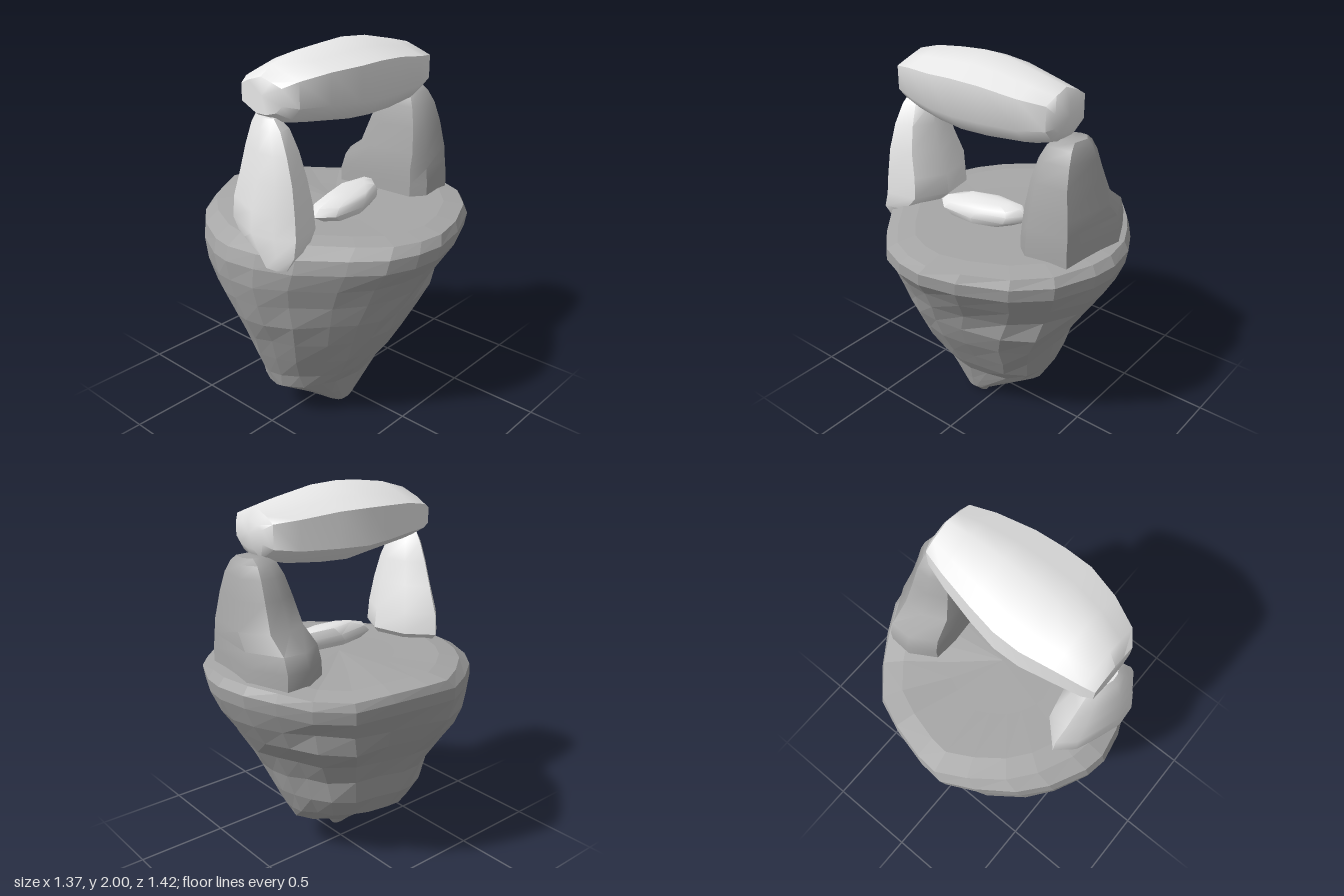
import * as THREE from 'three';
import { toCreasedNormals } from 'three/addons/utils/BufferGeometryUtils.js';

// Loft one outline through levels [height, x0, x1, z0, z1], closed at both ends.
function loft(outline, levels, warp = () => {}) {
  const xs = outline.map(p => p[0]), zs = outline.map(p => p[1]);
  const minX = Math.min(...xs), minZ = Math.min(...zs);
  const spanX = Math.max(...xs) - minX, spanZ = Math.max(...zs) - minZ;
  const n = outline.length, pos = [], index = [];
  const v = new THREE.Vector3();
  const add = (x, y, z, level) => {
    v.set(x, y, z);
    warp(v, level);
    pos.push(v.x, v.y, v.z);
  };
  levels.forEach(([y, x0, x1, z0, z1], i) => {
    for (const [x, z] of outline) {
      add(x0 + (x1 - x0) * (x - minX) / spanX, y, z0 + (z1 - z0) * (z - minZ) / spanZ, i);
    }
  });
  for (let i = 0; i < levels.length - 1; i++) {
    for (let j = 0; j < n; j++) {
      const a = i * n + j, b = i * n + (j + 1) % n;
      index.push(a, a + n, b, b, a + n, b + n);
    }
  }
  // End caps
  const last = levels.length - 1;
  for (const i of [0, last]) {
    const [y, x0, x1, z0, z1] = levels[i], c = pos.length / 3;
    add((x0 + x1) / 2, y, (z0 + z1) / 2, i);
    for (let j = 0; j < n; j++) {
      const a = i * n + j, b = i * n + (j + 1) % n;
      if (i) index.push(c, b, a);
      else index.push(c, a, b);
    }
  }
  const geo = new THREE.BufferGeometry();
  geo.setAttribute('position', new THREE.Float32BufferAttribute(pos, 3));
  geo.setIndex(index);
  return geo;
}

function seeded(seed) {
  return () => {
    seed = (seed * 16807) % 2147483647;
    return seed / 2147483647 - 0.5;
  };
}

function facet(geo) {
  const flat = geo.toNonIndexed();
  flat.computeVertexNormals();
  return flat;
}

export function createModel() {
  const group = new THREE.Group();
  const earth = new THREE.MeshStandardMaterial({ color: 0xa6a6a6 });
  earth.name = 'mid grey earth';
  const stone = new THREE.MeshStandardMaterial({ color: 0xe7e7e7 });
  stone.name = 'pale grey stone';
  const part = (name, geo, material) => {
    const mesh = new THREE.Mesh(geo, material);
    mesh.name = name;
    group.add(mesh);
  };

  // Floating island: faceted, tapering to an off-centre tip
  const plan = [
    [0.07, -0.71], [0.2, -0.69], [0.4, -0.6], [0.54, -0.44], [0.64, -0.2], [0.68, 0],
    [0.66, 0.15], [0.6, 0.3], [0.47, 0.44], [0.28, 0.6], [0.1, 0.68], [-0.06, 0.71],
    [-0.17, 0.69], [-0.35, 0.6], [-0.48, 0.49], [-0.6, 0.32], [-0.68, 0.16], [-0.67, 0.03],
    [-0.62, -0.18], [-0.55, -0.36], [-0.4, -0.5], [-0.25, -0.6], [-0.1, -0.68],
  ];
  const islandLevels = [
    [0, 0.11, 0.15, 0.05, 0.12],
    [0.04, 0.07, 0.19, 0.02, 0.18],
    [0.11, -0.02, 0.21, -0.1, 0.28],
    [0.21, -0.16, 0.24, -0.28, 0.43],
    [0.29, -0.3, 0.3, -0.32, 0.48],
    [0.41, -0.37, 0.37, -0.37, 0.53],
    [0.54, -0.4, 0.44, -0.42, 0.58],
    [0.67, -0.46, 0.5, -0.49, 0.635],
    [0.79, -0.55, 0.55, -0.58, 0.67],
    [0.9, -0.61, 0.61, -0.65, 0.7],
    [1.01, -0.67, 0.675, -0.7, 0.71],
    [1.08, -0.685, 0.685, -0.71, 0.69],
    [1.125, -0.67, 0.66, -0.68, 0.6],
    [1.14, -0.56, 0.56, -0.57, 0.5],
    [1.135, -0.3, 0.3, -0.3, 0.28],
  ];
  // Bulges and hollows: [direction, amount, sharpness, first level, last level]
  const bumps = [
    [1.95, 0.3, 12, 3, 3],
    [-2.6, -0.2, 4, 3, 3],
    [-0.8, 0.09, 6, 4, 7],
    [-2.36, 0.08, 6, 5, 8],
    [2.45, 0.05, 10, 7, 9],
    [2.0, -0.06, 50, 5, 7],
  ];
  const rand = seeded(41);
  part('island', facet(loft(plan, islandLevels, (v, i) => {
    const angle = Math.atan2(v.z, v.x);
    for (const [dir, amount, sharp, first, last] of bumps) {
      if (i < first || i > last) continue;
      const s = 1 + amount * Math.exp(-sharp * (angle - dir) ** 2);
      v.x *= s;
      v.z *= s;
    }
    if (i > 2 && i < 10) {
      v.x += rand() * 0.012;
      v.y += rand() * 0.015;
      v.z += rand() * 0.012;
    }
    // Gentle tilt of the rim, dipping at the back right corner
    if (i > 9) {
      const dip = Math.exp(-5 * (angle + 2.36) ** 2) * Math.hypot(v.x, v.z);
      v.y -= 0.012 * v.z + 0.025 * v.x + 0.07 * dip;
    }
  })), earth);

  // Standing stones, leaning inward as they rise
  const frontOutline = [
    [-0.23, 0.49], [-0.1, 0.37], [0.1, 0.33], [0.27, 0.42],
    [0.31, 0.59], [0.22, 0.65], [0.08, 0.66], [-0.15, 0.575],
  ];
  part('frontStone', toCreasedNormals(loft(frontOutline, [
    [1.015, 0.03, 0.26, 0.48, 0.65],
    [1.09, -0.12, 0.305, 0.42, 0.66],
    [1.17, -0.22, 0.3, 0.33, 0.66],
    [1.28, -0.21, 0.29, 0.34, 0.65],
    [1.42, -0.15, 0.27, 0.38, 0.63],
    [1.55, -0.1, 0.23, 0.41, 0.61],
    [1.65, -0.055, 0.18, 0.44, 0.585],
    [1.7, -0.01, 0.13, 0.49, 0.56],
  ]), 0.8), stone);

  const backOutline = [
    [-0.28, -0.46], [-0.27, -0.56], [-0.07, -0.64], [0.31, -0.6],
    [0.34, -0.42], [0.28, -0.36], [-0.07, -0.34], [-0.2, -0.35],
  ];
  part('backStone', toCreasedNormals(loft(backOutline, [
    [1.06, -0.28, 0.33, -0.64, -0.27],
    [1.2, -0.28, 0.33, -0.635, -0.275],
    [1.28, -0.25, 0.32, -0.63, -0.28],
    [1.36, -0.14, 0.31, -0.62, -0.295],
    [1.5, -0.08, 0.285, -0.59, -0.32],
    [1.6, -0.04, 0.25, -0.57, -0.345],
    [1.66, 0, 0.21, -0.55, -0.37],
    [1.69, 0.04, 0.17, -0.53, -0.42],
  ]), 0.8), earth);

  // Lintel: lofted upright, then laid along z (section is x by minus y)
  const section = [
    [-1, -0.45], [-0.65, -0.7], [0, -1], [0.5, -0.8], [1, -0.58],
    [1, 0.35], [0.7, 0.78], [0.2, 1], [-0.3, 1], [-1, 0.5],
  ];
  const lintel = loft(section, [
    [-0.46, 0.02, 0.24, -1.86, -1.72],
    [-0.43, -0.03, 0.27, -1.92, -1.67],
    [-0.3, -0.07, 0.31, -1.95, -1.635],
    [-0.1, -0.12, 0.34, -1.99, -1.615],
    [0.06, -0.15, 0.35, -2, -1.61],
    [0.2, -0.15, 0.35, -1.99, -1.63],
    [0.36, -0.12, 0.31, -1.97, -1.65],
    [0.5, -0.09, 0.25, -1.93, -1.67],
    [0.55, -0.07, 0.19, -1.88, -1.71],
  ]);
  lintel.rotateX(Math.PI / 2);
  part('lintel', toCreasedNormals(lintel, 0.8), stone);

  // Small flat stone lying between the uprights, higher on its inner side
  const slab = [
    [0.06, -0.18], [0.11, -0.2], [0.19, -0.13], [0.24, 0.04],
    [0.23, 0.24], [0.16, 0.32], [0.09, 0.28], [0.04, 0.06],
  ];
  part('fallenStone', toCreasedNormals(loft(slab, [
    [1.12, 0.07, 0.22, -0.1, 0.24],
    [1.165, 0.04, 0.24, -0.19, 0.32],
    [1.2, 0.04, 0.23, -0.2, 0.28],
    [1.225, 0.06, 0.21, -0.17, 0.18],
    [1.235, 0.09, 0.17, -0.1, 0.12],
  ], v => { if (v.y > 1.2) v.y += 0.12 * (0.18 - v.x); }), 0.8), stone);

  return group;
}
